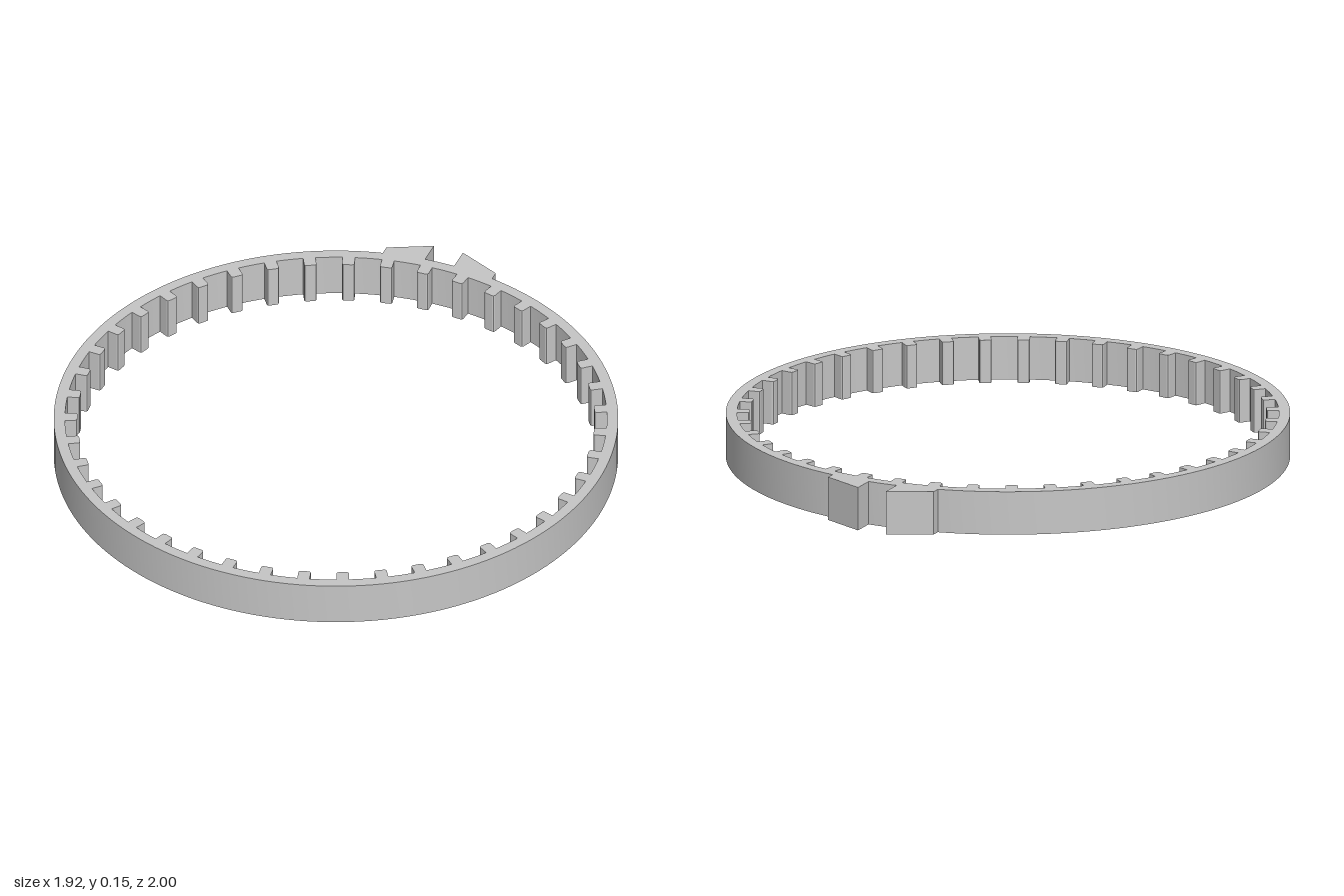
import * as THREE from 'three';
import { toCreasedNormals } from 'three/addons/utils/BufferGeometryUtils.js';

const HEIGHT = 0.152, OUTER = 0.96, INNER = 0.922, TIP = 0.88;
const CENTRE_Z = 0.04, TEETH = 43, HALF_TOOTH = 0.021;

// Point on a circle about the ring's axis, offset sideways by t
const polar = (r, a, t = 0) => new THREE.Vector2(
  r * Math.cos(a) - t * Math.sin(a),
  r * Math.sin(a) + t * Math.cos(a)
);

// Plan outline raised to the belt height; plan y becomes -z
function raise(shape) {
  const geo = new THREE.ExtrudeGeometry(shape, { depth: HEIGHT, bevelEnabled: false, curveSegments: 12 });
  geo.rotateX(-Math.PI / 2);
  return toCreasedNormals(geo, 0.4);
}

// Round belt with teeth cut into its inner outline
function beltShape() {
  const outer = [];
  const segments = 160;
  for (let i = 0; i < segments; i++) outer.push(polar(OUTER, (i / segments) * Math.PI * 2));
  const inner = [];
  const pitch = (Math.PI * 2) / TEETH;
  const root = HALF_TOOTH / INNER;
  const round = 0.007;
  for (let i = 0; i < TEETH; i++) {
    const a = i * pitch;
    // tooth with softened tip corners
    inner.push(
      polar(INNER, a - root),
      polar(TIP + round, a, -HALF_TOOTH),
      polar(TIP + round * 0.3, a, -HALF_TOOTH + round * 0.3),
      polar(TIP, a, -HALF_TOOTH + round),
      polar(TIP, a, HALF_TOOTH - round),
      polar(TIP + round * 0.3, a, HALF_TOOTH - round * 0.3),
      polar(TIP + round, a, HALF_TOOTH)
    );
    // curved gap up to the next tooth
    for (let k = 0; k < 4; k++) inner.push(polar(INNER, a + root + (k / 4) * (pitch - 2 * root)));
  }
  const shape = new THREE.Shape(outer);
  shape.holes.push(new THREE.Path(inner));
  return shape;
}

// Wedge lug sitting on the back of the belt; side is +1 or -1
function lugShape(side) {
  const near = 0.053, far = 0.2;
  const points = [
    new THREE.Vector2(near, 1 + CENTRE_Z),
    new THREE.Vector2(far, 0.932 + CENTRE_Z)
  ];
  for (let i = 0; i <= 6; i++) {
    const x = far + (near - far) * (i / 6);
    points.push(new THREE.Vector2(x, Math.sqrt(OUTER * OUTER - x * x) - 0.001));
  }
  return new THREE.Shape(points.map((p) => new THREE.Vector2(p.x * side, p.y)));
}

export function createModel() {
  const model = new THREE.Group();
  model.name = 'toothedRing';
  const grey = new THREE.MeshStandardMaterial({ color: 0xc6c6c6 });
  grey.name = 'light grey';

  const add = (name, shape) => {
    const mesh = new THREE.Mesh(raise(shape), grey);
    mesh.name = name;
    mesh.position.z = CENTRE_Z;
    model.add(mesh);
  };
  add('toothedBelt', beltShape());
  add('leftLug', lugShape(1));
  add('rightLug', lugShape(-1));
  return model;
}
